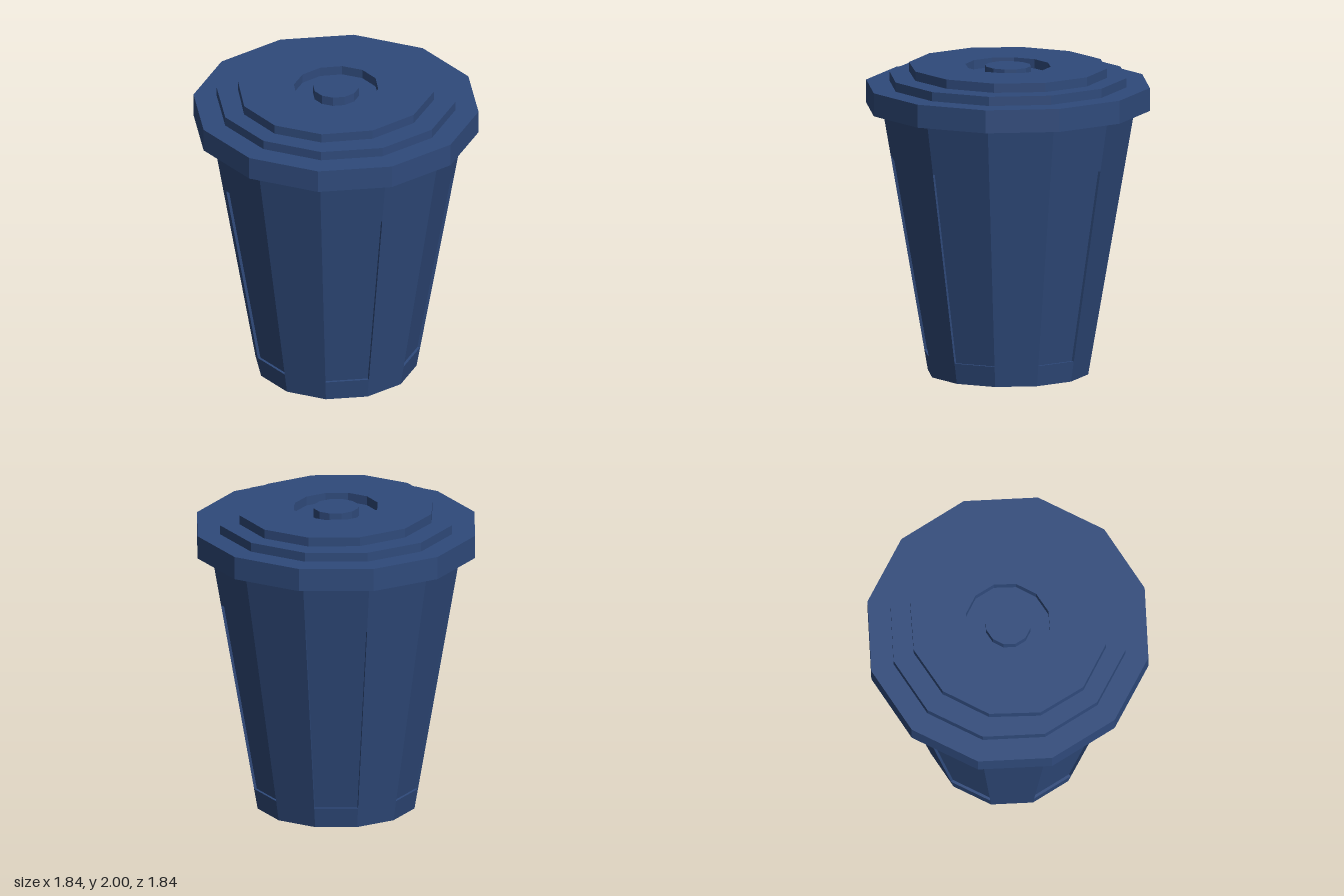
import * as THREE from 'three';

const SIDES = 12;
const BODY_TOP = 1.8, PANEL_LOW = 0.135, PANEL_HIGH = 1.4, INSET = 0.018;

// Point on a corner of the tapered body, optionally pushed inward
function corner(i, y, inset = 0) {
  const a = (i / SIDES) * Math.PI * 2;
  const r = 0.52 + 0.1735 * y - inset;
  return [r * Math.sin(a), y, r * Math.cos(a)];
}

// Tapered twelve-sided body; every second side has a sunken panel
function bodyGeometry() {
  const pos = [];
  const quad = (a, b, c, d) => pos.push(...a, ...b, ...c, ...a, ...c, ...d);
  const band = (i, y0, y1, inset) => quad(
    corner(i, y0, inset), corner(i + 1, y0, inset),
    corner(i + 1, y1, inset), corner(i, y1, inset));
  for (let i = 0; i < SIDES; i++) {
    pos.push(0, 0, 0, ...corner(i + 1, 0), ...corner(i, 0)); // base
    if (i % 2 === 0) {
      band(i, 0, BODY_TOP, 0);
      continue;
    }
    band(i, 0, PANEL_LOW, 0);
    band(i, PANEL_LOW, PANEL_HIGH, INSET);
    band(i, PANEL_HIGH, BODY_TOP, 0);
    // four walls around the recess
    const outer = [corner(i, PANEL_LOW), corner(i + 1, PANEL_LOW),
      corner(i + 1, PANEL_HIGH), corner(i, PANEL_HIGH)];
    const inner = [corner(i, PANEL_LOW, INSET), corner(i + 1, PANEL_LOW, INSET),
      corner(i + 1, PANEL_HIGH, INSET), corner(i, PANEL_HIGH, INSET)];
    for (let k = 0; k < 4; k++) {
      const n = (k + 1) % 4;
      quad(outer[k], outer[n], inner[n], inner[k]);
    }
  }
  const g = new THREE.BufferGeometry();
  g.setAttribute('position', new THREE.Float32BufferAttribute(pos, 3));
  g.computeVertexNormals();
  return g;
}

export function createModel() {
  const group = new THREE.Group();
  group.name = 'trashCan';
  const navy = new THREE.MeshStandardMaterial({ color: 0x2f4a7b, flatShading: true });
  navy.name = 'navy plastic';

  const add = (name, geometry) => {
    const mesh = new THREE.Mesh(geometry, navy);
    mesh.name = name;
    group.add(mesh);
    return mesh;
  };
  const turned = (profile) => new THREE.LatheGeometry(
    profile.map(([r, y]) => new THREE.Vector2(r, y)), SIDES);

  add('body', bodyGeometry());

  // Lid with an overhanging lip, hollow underneath, and one step
  add('lid', turned([
    [0, 1.8], [0.87, 1.8], [0.87, 1.73], [0.92, 1.73], [0.92, 1.88],
    [0.77, 1.88], [0.77, 1.94], [0, 1.94],
  ]));

  // Slightly narrowed top step with a round well, and the knob inside it
  add('lidTop', turned([[0.65, 1.94], [0.65, 2], [0.28, 2], [0.28, 1.94]])).scale.x = 0.96;
  add('knob', turned([[0.15, 1.94], [0.15, 2], [0, 2]])).scale.x = 0.97;

  return group;
}
